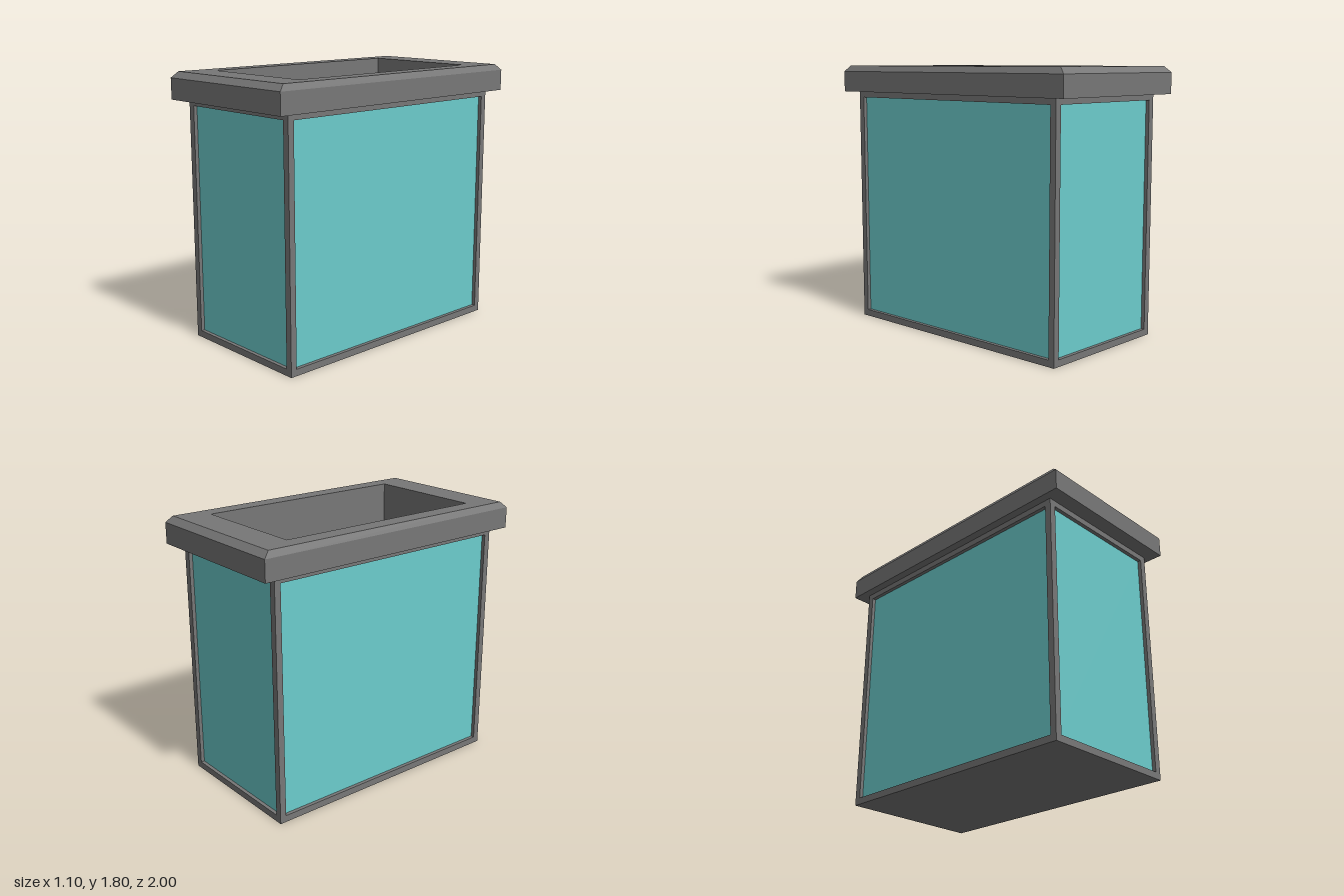
import * as THREE from 'three';

const HX = 0.495, HZ = 0.9, BODY_TOP = 1.62, RECESS = 0.025;
const grey = new THREE.MeshStandardMaterial({ color: 0x777777, flatShading: true });
const teal = new THREE.MeshStandardMaterial({ color: 0x6ccccc, flatShading: true });

function add(parent, name, geometry, material) {
  const mesh = new THREE.Mesh(geometry, material);
  mesh.name = name;
  parent.add(mesh);
  return mesh;
}

// Skin through rectangular rings, each [half width, half depth, height]
function rectLoft(rings) {
  const signs = [[1, 1], [1, -1], [-1, -1], [-1, 1]];
  const point = (r, i) => [r[0] * signs[i % 4][0], r[2], r[1] * signs[i % 4][1]];
  const pos = [];
  for (let k = 0; k + 1 < rings.length; k++) {
    for (let i = 0; i < 4; i++) {
      const a = point(rings[k], i), b = point(rings[k], i + 1);
      const c = point(rings[k + 1], i + 1), d = point(rings[k + 1], i);
      pos.push(...a, ...b, ...c, ...a, ...c, ...d);
    }
  }
  const g = new THREE.BufferGeometry();
  g.setAttribute('position', new THREE.Float32BufferAttribute(pos, 3));
  g.computeVertexNormals();
  return g;
}

// One wall facing +z: a raised frame around a recessed panel
function makeWall(name, halfWidth, halfOpening) {
  const wall = new THREE.Group();
  wall.name = name;
  const y0 = 0.045, y1 = 1.58;
  const rect = (C, w, a, b) => new C([[-w, a], [w, a], [w, b], [-w, b]].map(p => new THREE.Vector2(...p)));
  const shape = rect(THREE.Shape, halfWidth, 0, BODY_TOP);
  shape.holes.push(rect(THREE.Path, halfOpening, y0, y1));
  const frame = new THREE.ExtrudeGeometry(shape, { depth: RECESS, bevelEnabled: false });
  add(wall, 'wallFrame', frame, grey);
  const panel = add(wall, 'wallPanel', new THREE.PlaneGeometry(halfOpening * 2, y1 - y0), teal);
  panel.position.y = (y0 + y1) / 2;
  return wall;
}

export function createModel() {
  const model = new THREE.Group();
  model.name = 'planterBox';

  // Four framed walls; the side walls fit between the front and back ones
  for (const s of [1, -1]) {
    const end = makeWall(s > 0 ? 'frontWall' : 'backWall', HX, 0.45);
    end.position.z = s * (HZ - RECESS);
    end.rotation.y = s > 0 ? 0 : Math.PI;
    const side = makeWall(s > 0 ? 'leftWall' : 'rightWall', HZ - RECESS, 0.857);
    side.position.x = s * (HX - RECESS);
    side.rotation.y = s * Math.PI / 2;
    model.add(end, side);
  }

  // Underside
  add(model, 'base', new THREE.PlaneGeometry(HX * 2, HZ * 2), grey).rotation.x = Math.PI / 2;

  // Overhanging rim with a chamfered top edge
  const wx = 0.41, wz = 0.745, floorY = 0.1;
  add(model, 'rim', rectLoft([
    [HX - RECESS, HZ - RECESS, BODY_TOP], [0.55, 1, BODY_TOP], [0.55, 1, 1.76],
    [0.525, 0.957, 1.8], [wx, wz, 1.8],
  ]), grey);

  // Hollow inside
  add(model, 'innerWalls', rectLoft([[wx, wz, 1.8], [wx, wz, floorY]]), grey);
  const floor = add(model, 'innerFloor', new THREE.PlaneGeometry(wx * 2, wz * 2), grey);
  floor.rotation.x = -Math.PI / 2;
  floor.position.y = floorY;

  return model;
}
